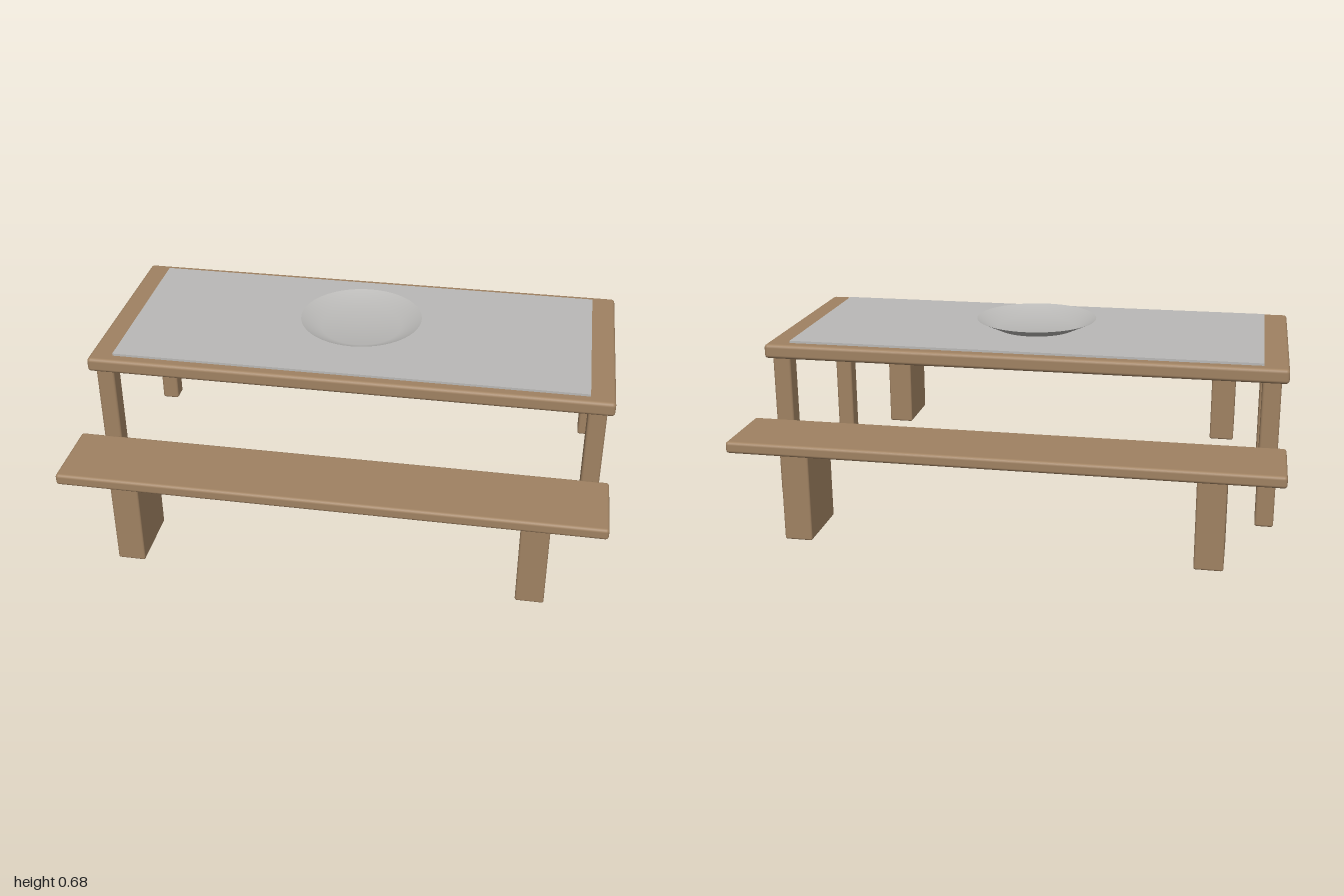
import * as THREE from 'three';
import { RoundedBoxGeometry } from 'three/addons/geometries/RoundedBoxGeometry.js';

export function createModel() {
  const model = new THREE.Group();
  model.name = 'tableWithBenches';

  const wood = new THREE.MeshStandardMaterial({ color: 0xa08262 });
  wood.name = 'wood';
  const grey = new THREE.MeshStandardMaterial({ color: 0xbab9b7, side: THREE.DoubleSide });
  grey.name = 'paleGrey';

  // Soft-edged wooden block, placed by its bottom height
  function block(name, [w, h, d], [x, y, z], radius, parent) {
    const mesh = new THREE.Mesh(new RoundedBoxGeometry(w, h, d, 3, radius), wood);
    mesh.name = name;
    mesh.position.set(x, y + h / 2, z);
    parent.add(mesh);
  }

  // Table: top and four corner legs
  const table = new THREE.Group();
  table.name = 'table';
  model.add(table);
  block('tableTop', [2, 0.056, 0.834], [0, 0.572, 0], 0.014, table);
  for (const sx of [-1, 1]) {
    for (const sz of [-1, 1]) {
      block('tableLeg', [0.07, 0.58, 0.073], [sx * 0.939, 0, sz * 0.36], 0.01, table);
    }
  }

  // Thin inlaid sheet on the table
  const sheet = new THREE.Mesh(new THREE.BoxGeometry(1.816, 0.009, 0.752), grey);
  sheet.name = 'tableSheet';
  sheet.position.y = 0.6325;
  table.add(sheet);

  // Shallow open dish with smooth inner shading
  const profile = [[0, 0.639], [0.16, 0.639], [0.24, 0.677]].map(([r, y]) => new THREE.Vector2(r, y));
  const dish = new THREE.Mesh(new THREE.LatheGeometry(profile, 48), grey);
  dish.name = 'dish';
  model.add(dish);

  // Benches in front and behind, each on two slab legs
  for (const sz of [-1, 1]) {
    const bench = new THREE.Group();
    bench.name = sz > 0 ? 'frontBench' : 'backBench';
    bench.position.z = sz * 0.686;
    model.add(bench);
    block('benchSeat', [2, 0.044, 0.288], [0, 0.331, 0], 0.012, bench);
    for (const sx of [-1, 1]) {
      block('benchLeg', [0.104, 0.338, 0.248], [sx * 0.749, 0, 0], 0.008, bench);
    }
  }
  return model;
}
